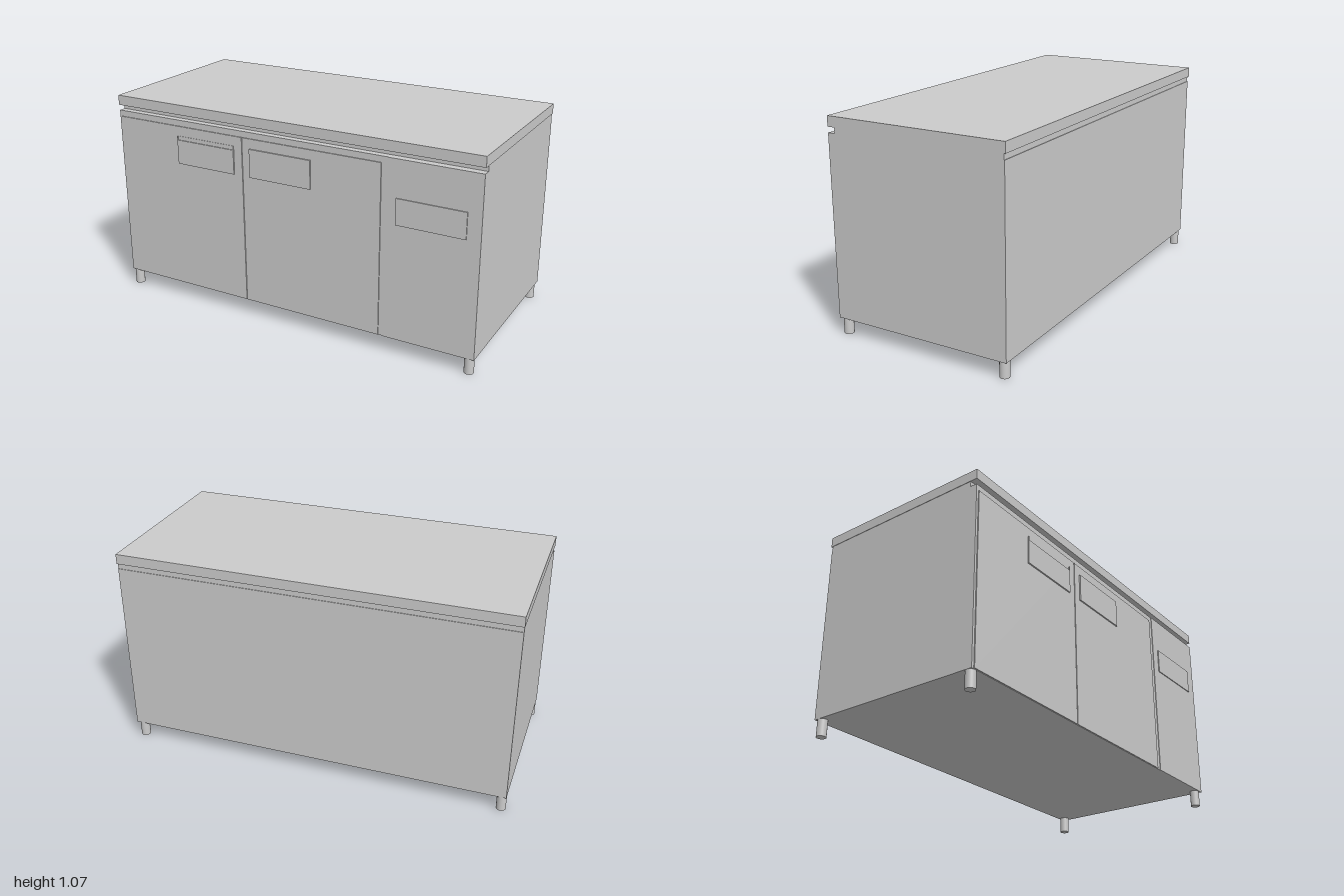
import * as THREE from 'three';

const steel = new THREE.MeshStandardMaterial({ color: 0xcccccc });

// Box given by its extents on each axis
function box(name, [x0, x1], [y0, y1], [z0, z1]) {
  const mesh = new THREE.Mesh(new THREE.BoxGeometry(x1 - x0, y1 - y0, z1 - z0), steel);
  mesh.name = name;
  mesh.position.set((x0 + x1) / 2, (y0 + y1) / 2, (z0 + z1) / 2);
  return mesh;
}

export function createModel() {
  const counter = new THREE.Group();
  counter.name = 'refrigeratedCounter';

  // Cabinet, set-back neck and worktop
  counter.add(
    box('cabinet', [-0.998, 0.998], [0.083, 0.986], [-0.468, 0.46]),
    box('neck', [-0.998, 0.998], [0.986, 1.014], [-0.465, 0.425]),
    box('worktop', [-1, 1], [1.014, 1.065], [-0.473, 0.462])
  );

  // Two doors and the machine compartment panel
  counter.add(
    box('leftDoor', [-0.985, -0.241], [0.085, 0.955], [0.455, 0.465]),
    box('middleDoor', [-0.236, 0.51], [0.085, 0.955], [0.455, 0.465]),
    box('compartmentPanel', [0.538, 0.998], [0.083, 0.986], [0.455, 0.463])
  );

  // Door handles: the first has a set-back lip above its grip plate
  const firstHandle = new THREE.Group();
  firstHandle.name = 'leftDoorHandle';
  firstHandle.add(
    box('gripPlate', [-0.622, -0.29], [0.76, 0.885], [0.46, 0.472]),
    box('gripLip', [-0.622, -0.29], [0.885, 0.905], [0.46, 0.467])
  );
  for (const x of [-0.625, -0.29]) {
    firstHandle.add(box('gripEnd', [x, x + 0.003], [0.76, 0.905], [0.46, 0.472]));
  }
  counter.add(
    firstHandle,
    box('middleDoorHandle', [-0.195, 0.145], [0.76, 0.905], [0.46, 0.472]),
    box('compartmentHandle', [0.588, 0.93], [0.67, 0.8], [0.458, 0.468])
  );

  // Round feet
  const footGeometry = new THREE.CylinderGeometry(0.024, 0.024, 0.085, 32);
  for (const x of [-0.973, 0.967]) {
    for (const z of [-0.441, 0.435]) {
      const foot = new THREE.Mesh(footGeometry, steel);
      foot.name = 'foot';
      foot.position.set(x, 0.0425, z);
      counter.add(foot);
    }
  }

  return counter;
}
